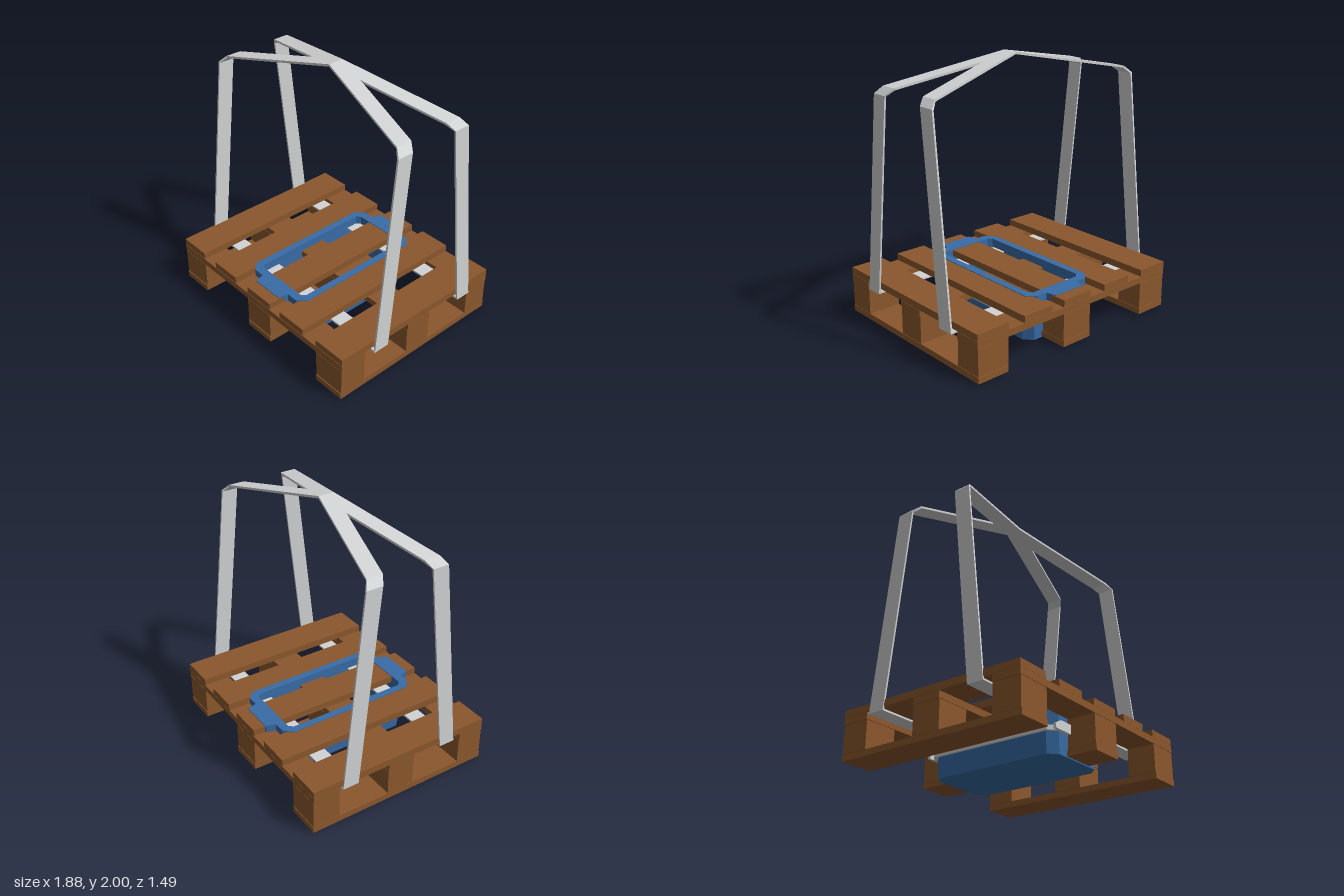
import * as THREE from 'three';

const wood = new THREE.MeshStandardMaterial({ color: 0x8b572d });
const blue = new THREE.MeshStandardMaterial({ color: 0x386ca6 });
const steel = new THREE.MeshStandardMaterial({ color: 0xd2d3d4 });
wood.name = 'wood';
blue.name = 'bluePlastic';
steel.name = 'lightSteel';

const CX = -0.01; // the pallet and tub sit slightly off the hoop centre

function add(group, name, geometry, material) {
  const mesh = new THREE.Mesh(geometry, material);
  mesh.name = name;
  group.add(mesh);
  return mesh;
}

// Box given by its limits on each axis
function block(group, name, [x0, x1], [y0, y1], [z0, z1], material) {
  const mesh = add(group, name, new THREE.BoxGeometry(x1 - x0, y1 - y0, z1 - z0), material);
  mesh.position.set((x0 + x1) / 2, (y0 + y1) / 2, (z0 + z1) / 2);
}

// Rectangle with cut corners, as [x, z] points
function octagon(hw, hl, c) {
  return [[hw, -hl + c], [hw, hl - c], [hw - c, hl], [-hw + c, hl],
    [-hw, hl - c], [-hw, -hl + c], [-hw + c, -hl], [hw - c, -hl]].map(([x, z]) => [x + CX, z]);
}

const toVectors = (pts) => pts.map(([x, y]) => new THREE.Vector2(x, y));

// Flat plate with an optional hole, lying between y0 and y1
function plate(outline, hole, y0, y1) {
  const shape = new THREE.Shape(toVectors(outline));
  if (hole) shape.holes.push(new THREE.Path(toVectors(hole)));
  const geo = new THREE.ExtrudeGeometry(shape, { depth: y1 - y0, bevelEnabled: false });
  return geo.rotateX(Math.PI / 2).translate(0, y1, 0);
}

// Wall between two outlines at different heights; inward flips its facing
function wall(low, yLow, high, yHigh, inward) {
  const pos = [];
  for (let i = 0; i < low.length; i++) {
    const j = (i + 1) % low.length;
    const a = [low[i][0], yLow, low[i][1]], b = [low[j][0], yLow, low[j][1]];
    const c = [high[j][0], yHigh, high[j][1]], d = [high[i][0], yHigh, high[i][1]];
    const quad = inward ? [a, b, c, a, c, d] : [a, c, b, a, d, c];
    pos.push(...quad.flat());
  }
  const geo = new THREE.BufferGeometry();
  geo.setAttribute('position', new THREE.Float32BufferAttribute(pos, 3));
  geo.computeVertexNormals();
  return geo;
}

function makePallet() {
  const g = new THREE.Group();
  g.name = 'pallet';
  const columns = [[-0.93, -0.67], [-0.13, 0.13], [0.645, 0.905]];
  const rows = [[-0.74, -0.53], [-0.115, 0.105], [0.525, 0.738]];
  for (const x of [[-0.935, -0.675], [-0.53, -0.275], [-0.13, 0.13], [0.245, 0.5], [0.64, 0.91]])
    block(g, 'topSlat', x, [0.318, 0.37], [-0.74, 0.736], wood);
  for (const z of rows) block(g, 'crossBoard', [-0.935, 0.91], [0.267, 0.316], z, wood);
  for (const x of columns) {
    for (const z of rows) block(g, 'spacerBlock', x, [0.06, 0.264], z, wood);
    block(g, 'skid', x, [0.012, 0.057], [-0.743, 0.743], wood);
  }
  return g;
}

function makeTub() {
  const g = new THREE.Group();
  g.name = 'tub';
  const base = octagon(0.268, 0.515, 0.06);
  const top = octagon(0.295, 0.53, 0.06);
  const opening = octagon(0.245, 0.505, 0.03);
  add(g, 'tubOuterWall', wall(base, 0.004, top, 0.33, false), blue);
  add(g, 'tubInnerWall', wall(octagon(0.24, 0.48, 0.03), 0.01, opening, 0.33, true), blue);
  // Floor facing down
  const floor = new THREE.ShapeGeometry(new THREE.Shape(toVectors(base)));
  add(g, 'tubFloor', floor.rotateX(Math.PI / 2).translate(0, 0.004, 0), blue);

  // Rim with a grip tab at each end
  const end = [[0.30, 0.51], [0.24, 0.57], [0.15, 0.57], [0.13, 0.645],
    [-0.13, 0.645], [-0.15, 0.57], [-0.24, 0.57], [-0.30, 0.51]];
  const outline = [...end, ...end.map(([x, z]) => [-x, -z])].map(([x, z]) => [x + CX, z]);
  add(g, 'tubRim', plate(outline, opening, 0.32, 0.375), blue);

  // Steel band around the tub, taller across its ends
  add(g, 'tubBand', plate(octagon(0.3, 0.54, 0.06), octagon(0.275, 0.515, 0.06), 0.155, 0.188), steel);
  const raised = new THREE.Shape(toVectors([[-0.29, 0.155], [0.29, 0.155], [0.29, 0.188],
    [0.23, 0.222], [-0.23, 0.222], [-0.29, 0.188]]));
  for (const z of [-0.55, 0.53]) {
    const geo = new THREE.ExtrudeGeometry(raised, { depth: 0.02, bevelEnabled: false });
    add(g, 'bandEnd', geo.translate(CX, 0, z), steel);
  }
  return g;
}

// Bent strap whose two legs stand on opposite sides and meet at the crown
function hoopStrap(dir) {
  const outer = [[0.942, 0.295], [0.932, 1.775], [0.88, 1.826], [0, 2]];
  const inner = [[0, 1.982], [0.873, 1.811], [0.918, 1.768], [0.928, 0.295]];
  const mirror = (pts) => pts.filter(([x]) => x > 0).map(([x, y]) => [-x, y]).reverse();
  const shape = new THREE.Shape(toVectors([...outer, ...mirror(outer), ...mirror(inner), ...inner.slice(0, 1),
    ...inner.slice(1)]));
  const width = 0.125;
  const geo = new THREE.ExtrudeGeometry(shape, { depth: width, bevelEnabled: false });
  const p = geo.attributes.position;
  for (let i = 0; i < p.count; i++) {
    const x = p.getX(i), y = p.getY(i);
    // Legs lean in towards the crown
    const spread = y < 1.8 ? 0.42 - 0.16 * (y - 0.295) / 1.48 : 0.225 * Math.abs(x) / 0.88;
    p.setZ(i, p.getZ(i) - width / 2 - 0.0225 + dir * Math.sign(x) * spread);
  }
  geo.computeVertexNormals();
  return geo;
}

function makeFrame() {
  const g = new THREE.Group();
  g.name = 'hoopFrame';
  for (const dir of [-1, 1]) {
    add(g, 'hoopStrap', hoopStrap(dir), steel);
    const z = -0.0225 + dir * 0.4225;
    block(g, 'baseStrap', [-0.942, 0.942], [0.293, 0.307], [z - 0.0625, z + 0.0625], steel);
  }
  return g;
}

export function createModel() {
  const model = new THREE.Group();
  model.name = 'palletWithTubAndHoops';
  model.add(makePallet(), makeTub(), makeFrame());
  return model;
}
